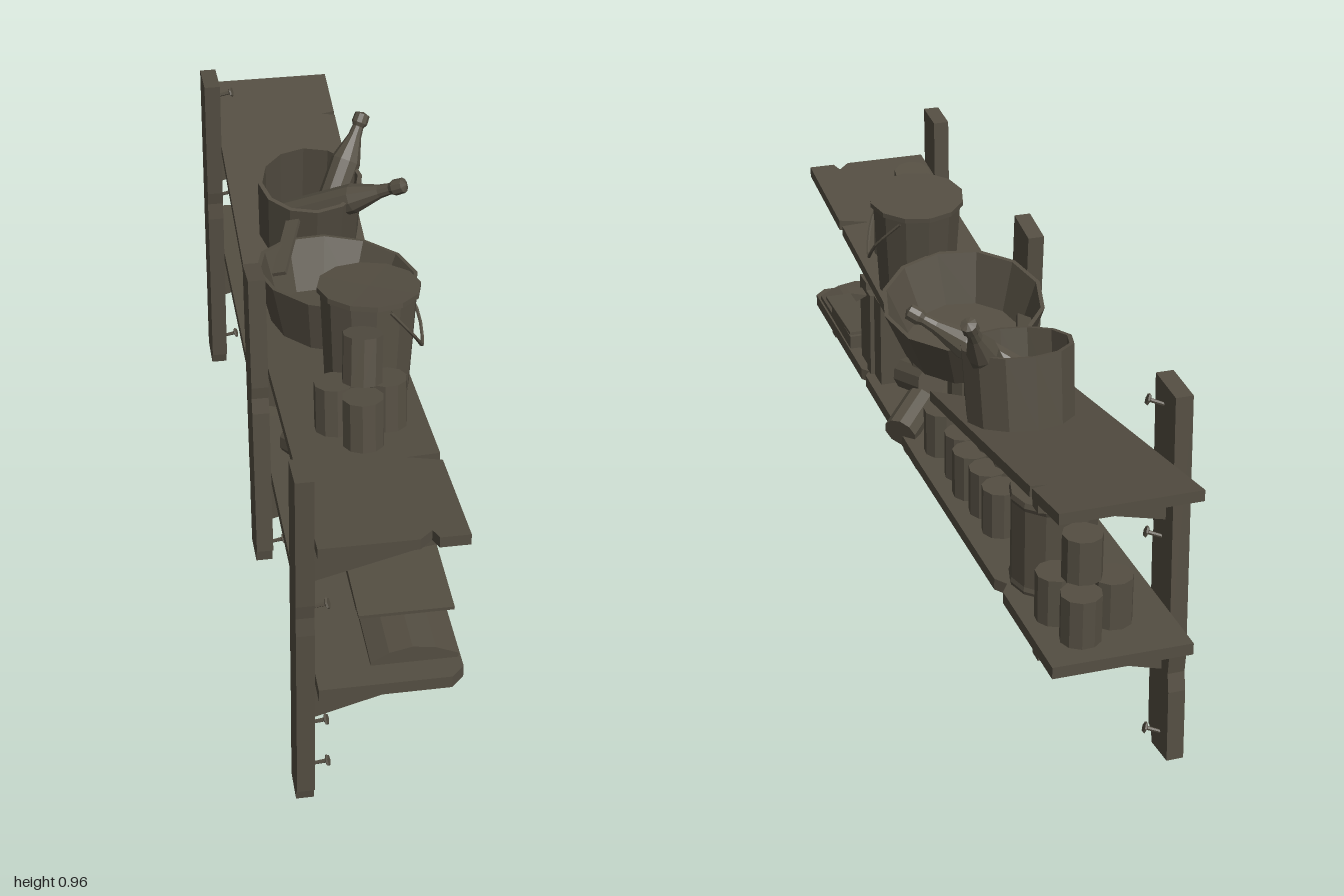
import * as THREE from 'three';

export function createModel() {
  const group = new THREE.Group();
  const mat = new THREE.MeshStandardMaterial({ color: 0x544e42, flatShading: true, side: THREE.DoubleSide });
  mat.name = 'old dusty wood';
  const V = (x, y, z) => new THREE.Vector3(x, y, z);
  const UP = V(0, 1, 0);

  const put = (name, geo, x, y, z, rx = 0, ry = 0, rz = 0) => {
    const m = new THREE.Mesh(geo, mat);
    m.name = name;
    m.position.set(x, y, z);
    m.rotation.set(rx, ry, rz);
    group.add(m);
    return m;
  };
  // Stand a geometry (base at y = 0) on point a, aimed at point b
  const aim = (name, geo, a, b) => {
    const m = put(name, geo, a.x, a.y, a.z);
    m.quaternion.setFromUnitVectors(UP, b.clone().sub(a).normalize());
    return m;
  };
  const shapeOf = pts => new THREE.Shape(pts.map(p => new THREE.Vector2(p[0], p[1])));
  const extrude = (pts, depth) => new THREE.ExtrudeGeometry(shapeOf(pts), { depth, bevelEnabled: false });
  const lathe = (pts, n = 12) => new THREE.LatheGeometry(pts.map(p => new THREE.Vector2(p[0], p[1])), n);

  // Wall posts with chipped ends
  const post = (name, z0, y0, z1, y1, w) => {
    const a = V(-0.2, y0, z0), b = V(-0.2, y1, z1), h = a.distanceTo(b), r = w / 2;
    const geo = extrude([[-r, 0.005], [r * 0.6, 0], [r * 0.7, 0.03], [r, 0.04], [r, h * 0.55],
      [r * 0.9, h * 0.6], [r, h * 0.64], [r, h], [-r, h - 0.012], [-r, h * 0.3], [-r * 0.88, h * 0.25], [-r, h * 0.2]], 0.04);
    geo.rotateY(-Math.PI / 2).translate(0.02, 0, 0);
    aim(name, geo, a, b);
  };
  post('frontPost', 0.89, 0, 0.91, 0.915, 0.092);
  post('middlePost', 0.197, 0.115, 0.143, 0.9, 0.105);
  post('backPost', -0.82, 0.01, -0.775, 0.915, 0.11);

  // Shelf boards: outline in x and z, sheared so the top follows y = y0 + slope * z
  const shelf = (name, pts, y0, slope, t = 0.026) => {
    const geo = extrude(pts, t).rotateX(Math.PI / 2);
    const p = geo.attributes.position;
    for (let i = 0; i < p.count; i++) p.setY(i, p.getY(i) + y0 + slope * p.getZ(i));
    geo.computeVertexNormals();
    put(name, geo, 0, 0, 0);
  };
  const L = -0.18, R = 0.135;
  shelf('upperShelfFrontHalf', [[L, 0.99], [0.03, 0.99], [0.06, 0.96], [0.07, 0.99], [R, 0.99], [R, 0.69], [0.06, 0.665],
    [R, 0.66], [R, 0.02], [0.08, -0.06], [0.03, -0.02], [-0.03, -0.11], [-0.09, -0.04], [L, -0.1]], 0.647, 0.123);
  shelf('upperShelfBackHalf', [[L, -1], [R, -1], [R, -0.84], [0.1, -0.832], [R, -0.825], [R, -0.12], [0.07, -0.2],
    [0.0, -0.13], [-0.06, -0.22], [-0.12, -0.16], [L, -0.24]], 0.604, -0.176);
  shelf('lowerShelfFrontHalf', [[L, 1], [R - 0.03, 1], [R, 0.97], [R, 0.5], [R - 0.015, 0.48], [R, 0.46], [R, 0], [L, 0]], 0.38, 0.015, 0.03);
  shelf('lowerShelfBackHalf', [[L, 0], [R, 0], [R, -0.6], [R - 0.02, -0.63], [R, -0.66], [R, -0.98], [L, -0.985]], 0.38, -0.02, 0.028);

  // Nails bent out of the wood
  const nail = (a, b) => {
    const h = a.distanceTo(b);
    aim('nail', lathe([[0, 0], [0.004, 0], [0.005, h - 0.008], [0.014, h - 0.004], [0.012, h], [0, h]], 6), a, b);
  };

  // Wedge brackets under the boards, nailed from the side
  const bracket = (z, top, d) => {
    put('bracket', extrude([[L, top - d], [0.06, top - d * 0.48], [0.11, top - d * 0.42], [0.11, top], [L, top]], 0.034), 0, 0, z - 0.017);
    nail(V(-0.15, top - 0.04, z + 0.01), V(-0.125, top - 0.03, z + 0.035));
  };
  bracket(0.885, 0.735, 0.125);
  bracket(-0.79, 0.718, 0.115);
  bracket(0.885, 0.365, 0.14);
  bracket(0.185, 0.355, 0.135);
  bracket(-0.805, 0.37, 0.14);
  for (const [y, z] of [[0.86, -0.77], [0.54, 0.9], [0.55, -0.79], [0.19, 0.88], [0.14, 0.19], [0.085, 0.9], [0.065, -0.83]])
    nail(V(-0.185, y, z), V(-0.145, y + 0.015, z + 0.01));

  // Tin cans, placed by the centre of the base
  const can = (x, y, z, r = 0.046, h = 0.115, rx = 0, rz = 0) =>
    put('tinCan', new THREE.CylinderGeometry(r, r, h, 10).translate(0, h / 2, 0), x, y, z, rx, x * 9, rz);
  const tiltA = -0.122, tiltB = 0.174;

  // Cans on the upper shelf
  can(-0.07, 0.708, 0.51, 0.046, 0.115, tiltA);
  can(0.045, 0.708, 0.51, 0.046, 0.115, tiltA);
  can(-0.02, 0.72, 0.59, 0.046, 0.115, tiltA);
  can(-0.01, 0.825, 0.505, 0.045, 0.11, -0.25, -0.05);

  // Closed bucket with a raised rim and a hanging wire handle
  const bucket = put('bucket', lathe([[0, 0], [0.096, 0], [0.11, 0.24], [0.117, 0.24], [0.117, 0.252], [0, 0.25]]),
    0.03, 0.69, 0.335, tiltA, 0, -0.03);
  const wire = new THREE.CatmullRomCurve3([V(0.03, 0.235, 0.112), V(0.09, 0.16, 0.085), V(0.125, 0.1, 0.0), V(0.12, 0.16, -0.05), V(0.07, 0.235, -0.095)]);
  const handle = new THREE.Mesh(new THREE.TubeGeometry(wire, 12, 0.004, 5), mat);
  handle.name = 'bucketHandle';
  bucket.add(handle);

  // Open vessels with thin walls
  const vessel = (rb, rt, h) => lathe([[0, 0], [rb, 0], [rt, h], [rt - 0.011, h], [rb - 0.01, 0.012], [0, 0.012]]);
  put('basin', vessel(0.165, 0.215, 0.13), 0, 0.662, 0.025, -0.14, 0, -0.1).scale.set(0.9, 1, 1.02);
  put('cookingPot', vessel(0.125, 0.13, 0.172), 0, 0.668, -0.378, tiltB);
  aim('potHandle', new THREE.BoxGeometry(0.035, 0.18, 0.01).translate(0, 0.09, 0), V(-0.06, 0.795, -0.225), V(-0.12, 0.75, -0.05));

  // Bottles leaning in the pot
  const bottle = (a, b) => {
    const h = a.distanceTo(b);
    aim('bottle', lathe([[0, 0], [0.034, 0], [0.037, 0.02], [0.037, h * 0.6], [0.017, h * 0.8], [0.014, h * 0.88],
      [0.02, h * 0.91], [0.019, h * 0.98], [0, h]], 10), a, b);
  };
  bottle(V(0.02, 0.7, -0.315), V(0.15, 0.955, -0.455));
  bottle(V(-0.075, 0.715, -0.38), V(0.215, 0.885, -0.205));

  // Open book lying flat: a page block and a curved half
  put('bookBlock', new THREE.BoxGeometry(0.205, 0.035, 0.19), 0.037, 0.425, 0.685, -0.03);
  put('bookCover', new THREE.BoxGeometry(0.21, 0.008, 0.25), 0.035, 0.446, 0.715, 0.02);
  put('bookPages', extrude([[-0.06, 0.39], [-0.06, 0.402], [-0.02, 0.425], [0.03, 0.436], [0.08, 0.428], [0.13, 0.405], [0.13, 0.39]], 0.17), 0, 0, 0.77);

  // Standing books
  const slab = (name, x, y, z, w, h, d, rx = 0) =>
    put(name, new THREE.BoxGeometry(w, h, d).translate(0, h / 2, 0), x, y, z, rx);
  slab('bookThin', -0.005, 0.388, 0.548, 0.235, 0.235, 0.06);
  slab('bookTall', 0, 0.385, 0.48, 0.24, 0.23, 0.035, -0.03);
  slab('bookWide', 0.0, 0.385, 0.428, 0.22, 0.23, 0.06, -0.02);
  put('paperScrap', extrude([[0, 0], [0.045, 0.012], [0.03, -0.014]], 0.05), 0.112, 0.592, 0.51);

  // Cans lying on their sides
  can(0.05, 0.43, 0.36, 0.043, 0.12, -1.5, 0.3);
  can(0.06, 0.43, 0.2, 0.043, 0.12, -1.45, -0.9);
  can(-0.06, 0.428, 0.23, 0.043, 0.12, -1.57, 0.5);

  // Rows of stacked cans on the lower shelf
  for (const [x, z] of [[0.06, 0.025], [-0.05, -0.02], [0.05, -0.11], [-0.06, -0.13], [0.06, -0.205], [-0.05, -0.24], [0.05, -0.3], [0.05, -0.395], [-0.13, -0.08]])
    can(x, 0.38 - 0.02 * z, z);
  for (const [x, z] of [[0.01, -0.01], [0.0, -0.11], [0.0, -0.21], [-0.01, -0.295]])
    can(x, 0.497 - 0.02 * z, z);

  // Large drum and the can cluster at the back end
  put('largeTin', lathe([[0, 0], [0.097, 0], [0.1, 0.01], [0.097, 0.02], [0.097, 0.21], [0.101, 0.22], [0.098, 0.232], [0, 0.23]]),
    0.01, 0.392, -0.635);
  can(0.06, 0.395, -0.79);
  can(0.04, 0.397, -0.89);
  can(-0.05, 0.396, -0.84);
  can(0.015, 0.511, -0.825, 0.045, 0.105);

  return group;
}
